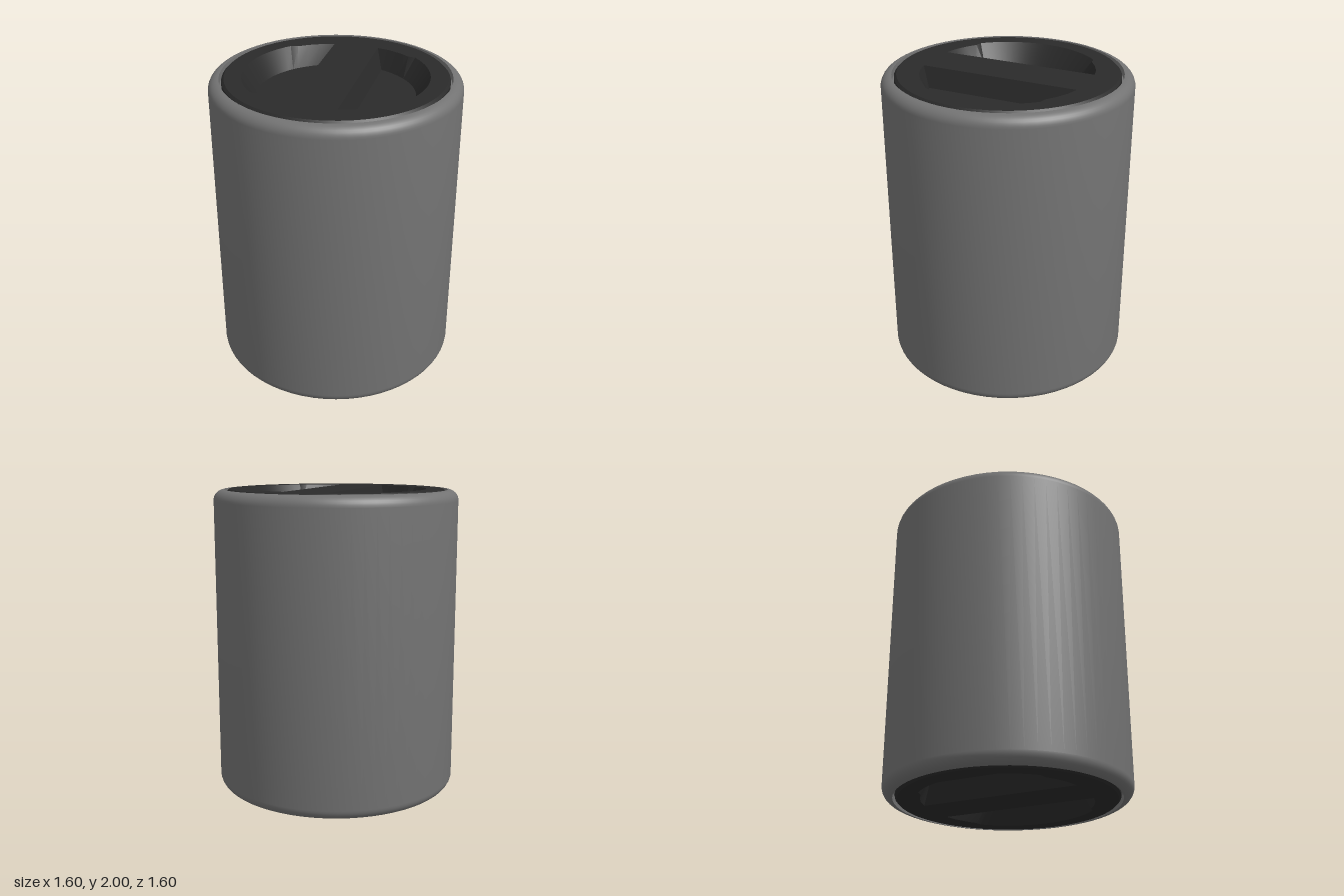
import * as THREE from 'three';
import { toCreasedNormals } from 'three/addons/utils/BufferGeometryUtils.js';

const DEPTH = 0.13;   // recess depth
const SEGMENTS = 64;

const bodyMaterial = new THREE.MeshStandardMaterial({ color: 0x737373 });
const capMaterial = new THREE.MeshStandardMaterial({ color: 0x2a2a2a });

const rad = THREE.MathUtils.degToRad;
const polar = (r, deg) => new THREE.Vector2(r * Math.cos(rad(deg)), r * Math.sin(rad(deg)));

// Outer lip of a recess: a D shape whose middle part has a wider chamfer
function lipOutline() {
  const pts = [polar(0.545, 16), polar(0.553, 25), polar(0.558, 34), polar(0.563, 42)];
  for (let i = 0; i <= 20; i++) pts.push(polar(0.59, 46 + (88 * i) / 20));
  pts.push(polar(0.563, 138), polar(0.558, 146), polar(0.553, 155), polar(0.545, 164));
  return pts;
}

// Floor of a recess, point for point below the lip
function floorOutline(lip) {
  const start = THREE.MathUtils.radToDeg(Math.asin(0.19 / 0.505));
  return lip.map((p) => {
    const a = THREE.MathUtils.radToDeg(p.angle());
    return polar(0.505, THREE.MathUtils.mapLinear(a, 16, 164, start, 180 - start));
  });
}

// Sloped walls joining the lip to the floor
function wallGeometry(lip, floor) {
  const pos = [];
  const n = lip.length;
  for (let i = 0; i < n; i++) {
    const j = (i + 1) % n;
    const a = [lip[i].x, lip[i].y, 0], b = [lip[j].x, lip[j].y, 0];
    const c = [floor[j].x, floor[j].y, -DEPTH], d = [floor[i].x, floor[i].y, -DEPTH];
    pos.push(...a, ...b, ...c, ...a, ...c, ...d);
  }
  const g = new THREE.BufferGeometry();
  g.setAttribute('position', new THREE.Float32BufferAttribute(pos, 3));
  g.computeVertexNormals();
  return toCreasedNormals(g, rad(25));
}

function lathe(points) {
  const g = new THREE.LatheGeometry(points.map(([x, y]) => new THREE.Vector2(x, y)), SEGMENTS);
  return toCreasedNormals(g, rad(35));
}

function addMesh(parent, name, geometry, material) {
  const mesh = new THREE.Mesh(geometry, material);
  mesh.name = name;
  parent.add(mesh);
  return mesh;
}

// Round cap with two recesses that leave a grip bar across the middle; top face at y = 0
function createCap(name) {
  const cap = new THREE.Group();
  cap.name = name;
  const lip = lipOutline();
  const floor = floorOutline(lip);

  const face = new THREE.Shape();
  face.absarc(0, 0, 0.7, 0, Math.PI * 2);
  for (const s of [1, -1]) {
    face.holes.push(new THREE.Path(lip.map((p) => p.clone().multiplyScalar(s))));
  }
  addMesh(cap, 'capFace', new THREE.ShapeGeometry(face, SEGMENTS / 2).rotateX(-Math.PI / 2), capMaterial);
  addMesh(cap, 'capRim', lathe([[0.715, -0.06], [0.715, -0.015], [0.7, 0]]), capMaterial);

  for (const turn of [0, Math.PI]) {
    const recess = new THREE.Group();
    recess.name = 'gripRecess';
    addMesh(recess, 'recessWall', wallGeometry(lip, floor).rotateX(-Math.PI / 2), capMaterial);
    const base = new THREE.ShapeGeometry(new THREE.Shape(floor)).translate(0, 0, -DEPTH);
    addMesh(recess, 'recessFloor', base.rotateX(-Math.PI / 2), capMaterial);
    recess.rotation.y = turn;
    cap.add(recess);
  }
  return cap;
}

export function createModel() {
  const model = new THREE.Group();
  model.name = 'canister';

  // Body: straight cylinder with rounded rims and a thin groove around each cap
  const half = [[0.69, 0.05], [0.728, 0.05], [0.73, 0.003]];
  for (let i = 1; i <= 8; i++) {
    const a = (i / 8) * (Math.PI / 2);
    half.push([0.73 + 0.07 * Math.sin(a), 0.073 - 0.07 * Math.cos(a)]);
  }
  const mirrored = half.map(([x, y]) => [x, 2 - y]).reverse();
  addMesh(model, 'body', lathe([...half, ...mirrored]), bodyMaterial);

  // Caps at both ends, grip bars turned the same way
  const caps = new THREE.Group();
  caps.name = 'caps';
  const top = createCap('topCap');
  top.position.y = 2;
  const bottom = createCap('bottomCap');
  bottom.rotation.x = Math.PI;
  caps.add(top, bottom);
  caps.rotation.y = rad(30);
  model.add(caps);

  return model;
}
